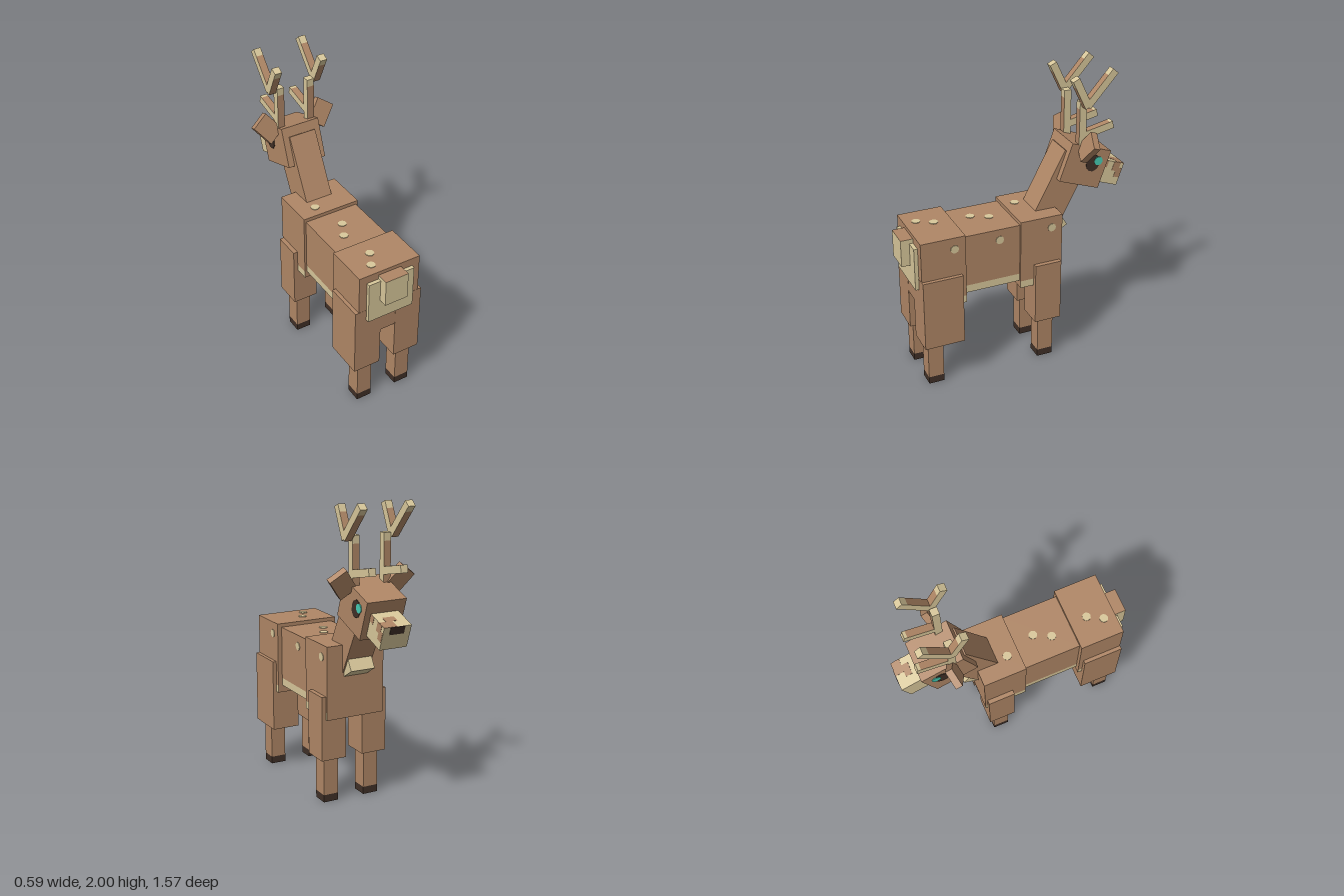
import * as THREE from 'three';

function mat(name, color) {
  const m = new THREE.MeshStandardMaterial({ color });
  m.name = name;
  return m;
}

export function createModel() {
  const brown = mat('brown fur', 0xb08766);
  const cream = mat('cream fur', 0xd9c89b);
  const dark = mat('dark hoof', 0x403027);
  const teal = mat('teal eye', 0x46ccb5);

  const deer = new THREE.Group();
  deer.name = 'deer';

  // Box from its limits on each axis
  function box(parent, name, material, [x0, x1], [y0, y1], [z0, z1]) {
    const mesh = new THREE.Mesh(new THREE.BoxGeometry(x1 - x0, y1 - y0, z1 - z0), material);
    mesh.position.set((x0 + x1) / 2, (y0 + y1) / 2, (z0 + z1) / 2);
    mesh.name = name;
    parent.add(mesh);
    return mesh;
  }

  // Group placed at y, z and pitched about the x axis (negative leans forward)
  function pitched(name, y, z, degrees, x = 0) {
    const g = new THREE.Group();
    g.name = name;
    g.position.set(x, y, z);
    g.rotation.x = THREE.MathUtils.degToRad(degrees);
    deer.add(g);
    return g;
  }

  // Thin round plate facing up ('y') or sideways ('x')
  function disc(parent, name, material, r, axis, x, y, z) {
    const mesh = new THREE.Mesh(new THREE.CylinderGeometry(r, r, 0.006, 10), material);
    if (axis === 'x') mesh.rotation.z = Math.PI / 2;
    mesh.position.set(x, y, z);
    mesh.name = name;
    parent.add(mesh);
    return mesh;
  }

  // Torso: three blocks with a cream lower band on the sides and belly
  const torso = [
    ['hindquarters', 0.22, 0.58, 0.63, 1.065, 0.405, 0.705, brown],
    ['middleBody', 0.19, 0.63, 0.682, 1.04, 0.02, 0.405, cream],
    ['chest', 0.205, 0.58, 0.63, 1.065, -0.275, 0.02, brown],
  ];
  for (const [name, w, y0, yBand, y1, z0, z1, end] of torso) {
    box(deer, name, brown, [-w, w], [yBand, y1], [z0, z1]);
    box(deer, name + 'Belly', [cream, cream, cream, cream, end, end], [-w, w], [y0, yBand], [z0, z1]);
  }

  // Legs, mirrored
  const legs = [
    ['hind', 0.055, 0.245, 0.795, [0.435, 0.706], [0.57, 0.675]],
    ['front', 0.06, 0.235, 0.735, [-0.26, -0.075], [-0.22, -0.11]],
  ];
  for (const [name, xIn, xOut, top, zThigh, zShin] of legs) {
    for (const s of [-1, 1]) {
      const span = (a, b) => (s > 0 ? [a, b] : [-b, -a]);
      box(deer, name + 'UpperLeg', brown, span(xIn, xOut), [0.305, top], zThigh);
      box(deer, name + 'LowerLeg', brown, span(0.095, 0.2), [0.05, 0.305], zShin);
      box(deer, name + 'Hoof', dark, span(0.095, 0.2), [0, 0.05], zShin);
    }
  }

  // Rump patch and tail
  box(deer, 'rumpPatch', cream, [-0.165, 0.165], [0.715, 1.01], [0.7, 0.73]);
  box(deer, 'tail', [cream, cream, brown, cream, cream, cream], [-0.082, 0.082], [0.855, 1.04], [0.7, 0.787]);

  // Spots on the back and flank
  for (const [x, y, z] of [
    [-0.075, 1.066, -0.06], [0, 1.041, 0.155], [-0.055, 1.041, 0.265],
    [-0.03, 1.066, 0.525], [-0.085, 1.066, 0.625],
  ]) disc(deer, 'backSpot', cream, 0.029, 'y', x, y, z);
  for (const [x, y, z] of [[0.221, 0.985, 0.48], [0.191, 0.965, 0.16], [0.206, 0.985, -0.2]]) {
    disc(deer, 'flankSpot', cream, 0.028, 'x', x, y, z);
  }

  // Neck and throat tuft
  const neck = pitched('neck', 1.128, -0.285, -27.7);
  box(neck, 'neckBlock', brown, [-0.095, 0.095], [-0.32, 0.32], [-0.106, 0.106]);
  const tuft = pitched('throatTuft', 0.935, -0.288, 31);
  box(tuft, 'tuftBlock', cream, [-0.085, 0.085], [-0.06, 0.06], [-0.06, 0.06]);

  // Head and snout, nose tipped down
  const head = pitched('head', 1.342, -0.467, -19.8);
  box(head, 'skull', brown, [-0.137, 0.137], [-0.1325, 0.1325], [-0.149, 0.149]);
  box(head, 'snout', cream, [-0.095, 0.095], [-0.104, 0.052], [-0.311, -0.14]);
  box(head, 'nose', dark, [-0.05, 0.05], [0, 0.052], [-0.314, -0.309]);

  // Brown blotches on the snout
  box(head, 'snoutTopBlotch', brown, [0.005, 0.095], [0.05, 0.054], [-0.311, -0.25]);
  box(head, 'snoutTopBlotch', brown, [-0.03, 0.05], [0.05, 0.054], [-0.25, -0.205]);
  box(head, 'snoutSideBlotch', brown, [0.093, 0.097], [0.005, 0.052], [-0.19, -0.149]);
  box(head, 'snoutSideBlotch', brown, [0.093, 0.097], [-0.01, 0.052], [-0.285, -0.235]);
  box(head, 'snoutSideBlotch', brown, [0.093, 0.097], [-0.05, 0.015], [-0.308, -0.265]);

  for (const s of [-1, 1]) {
    // Eyes
    const socket = disc(head, 'eye', dark, 0.05, 'x', s * 0.138, 0.03, -0.046);
    socket.scale.x = 1.18;
    disc(head, 'iris', teal, 0.03, 'x', s * 0.141, 0.052, -0.078);

    // Ears, splayed outward
    const ear = box(head, 'ear', brown, [-0.063, 0.063], [-0.081, 0.081], [-0.023, 0.023]);
    ear.position.set(s * 0.198, 0.145, 0.067);
    ear.rotation.z = -s * 0.64;

    // Antler branches: cream sides, brown front and back, cream tips
    const branch = (name, x, y, z, degrees, length, tip) => {
      const g = pitched(name, y, z, degrees, s * x);
      const w = [-0.0245, 0.0245];
      box(g, name + 'Shaft', [cream, cream, cream, cream, brown, brown], w, [0, length - tip], w);
      box(g, name + 'Tip', cream, w, [length - tip, length], w);
    };
    branch('antlerPost', 0.11, 1.44, -0.441, 0, 0.35, 0.05);
    branch('antlerBrowTine', 0.11, 1.553, -0.441, -78, 0.224, 0.02);
    branch('antlerFrontFork', 0.163, 1.774, -0.444, -41.7, 0.282, 0.05);
    branch('antlerBackFork', 0.163, 1.768, -0.452, 25.6, 0.215, 0.05);
  }

  return deer;
}
